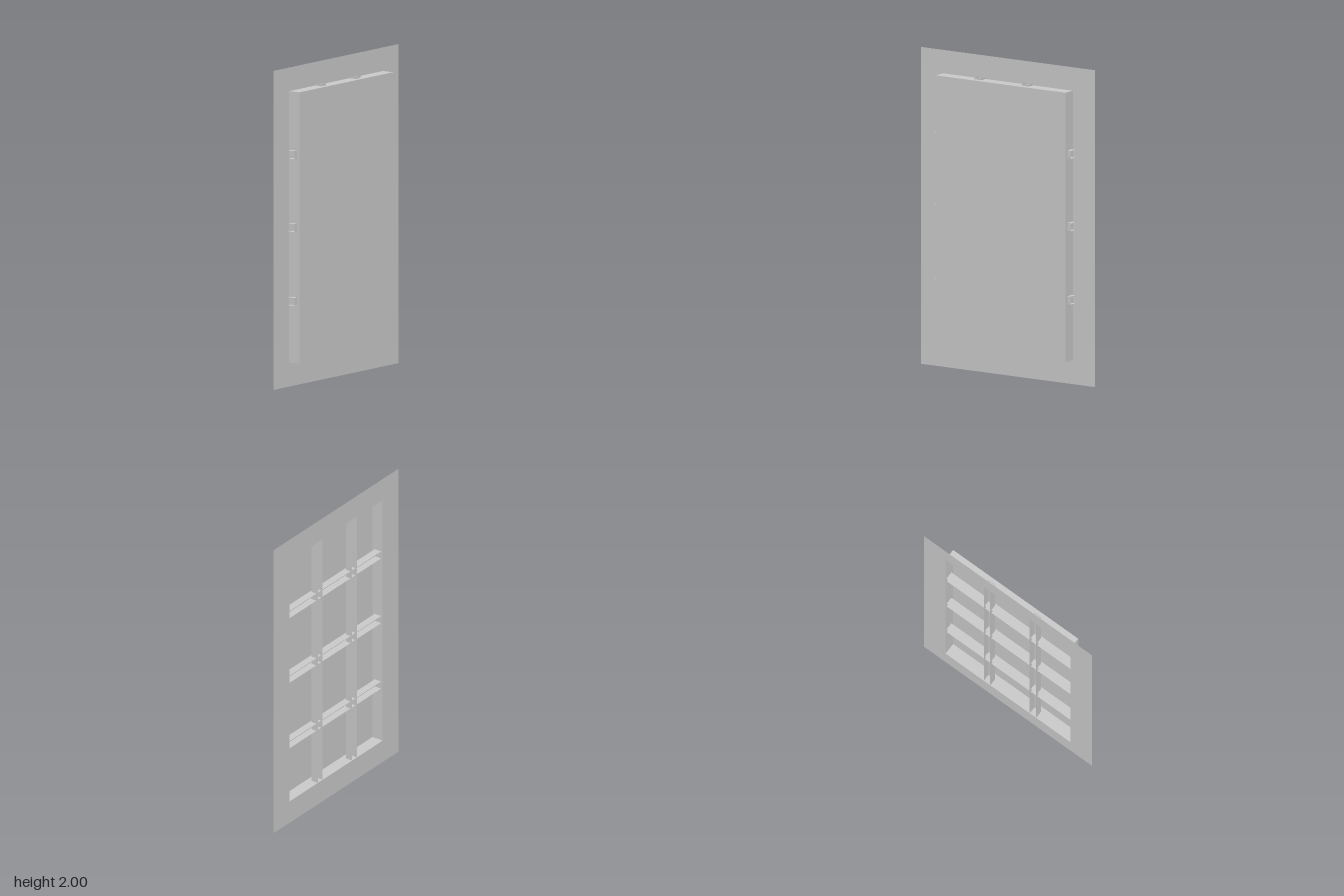
import * as THREE from 'three';

const material = new THREE.MeshStandardMaterial({ color: 0xcccccc, side: THREE.DoubleSide, flatShading: true });

// Sweeps a polyline of [a, b] points along a straight length centred on z = 0.
function sweep(points, length) {
  const positions = [];
  const h = length / 2;
  for (let i = 0; i < points.length - 1; i++) {
    const [ax, ay] = points[i];
    const [bx, by] = points[i + 1];
    positions.push(ax, ay, -h, bx, by, -h, bx, by, h, ax, ay, -h, bx, by, h, ax, ay, h);
  }
  const geometry = new THREE.BufferGeometry();
  geometry.setAttribute('position', new THREE.Float32BufferAttribute(positions, 3));
  geometry.computeVertexNormals();
  return geometry;
}

// U-shaped glazing bar lying along x, web at the back, open to the front.
function channel(length, width, back, front) {
  const w = width / 2;
  const profile = [[-front, w], [-back, w], [-back, -w], [-front, -w]];
  return sweep(profile, length).rotateY(-Math.PI / 2);
}

export function createModel() {
  const group = new THREE.Group();
  const add = (name, geometry, x = 0, y = 0, z = 0) => {
    const mesh = new THREE.Mesh(geometry, material);
    mesh.name = name;
    mesh.position.set(x, y, z);
    group.add(mesh);
  };

  const backZ = -0.057, paneZ = 0.022;
  const halfW = 0.485, bottom = 0.151, top = 1.852;
  const midY = (bottom + top) / 2, halfH = (top - bottom) / 2;
  const corners = [[-halfW, bottom], [halfW, bottom], [halfW, top], [-halfW, top]];

  // Thin surround with the window opening
  const surround = new THREE.Shape([[-0.65, 0], [0.65, 0], [0.65, 2], [-0.65, 2]].map(p => new THREE.Vector2(...p)));
  surround.holes.push(new THREE.Path([...corners].reverse().map(p => new THREE.Vector2(...p))));
  add('surround', new THREE.ShapeGeometry(surround), 0, 0, backZ);

  // Four walls of the recess and the pane closing its front
  add('reveal', sweep([...corners, corners[0]], paneZ - backZ), 0, 0, (paneZ + backZ) / 2);
  add('pane', new THREE.PlaneGeometry(halfW * 2, halfH * 2), 0, midY, paneZ);

  // Horizontal glazing bars
  for (const y of [0.54, 1.003, 1.46]) {
    add('horizontalBar', channel(1.026, 0.05, -0.004, 0.045), 0, y);
  }

  // Vertical glazing bars
  for (const x of [-0.193, 0.163]) {
    add('verticalBar', channel(1.72, 0.05, 0.009, 0.057).rotateZ(Math.PI / 2), x, 1.003);
  }

  return group;
}
